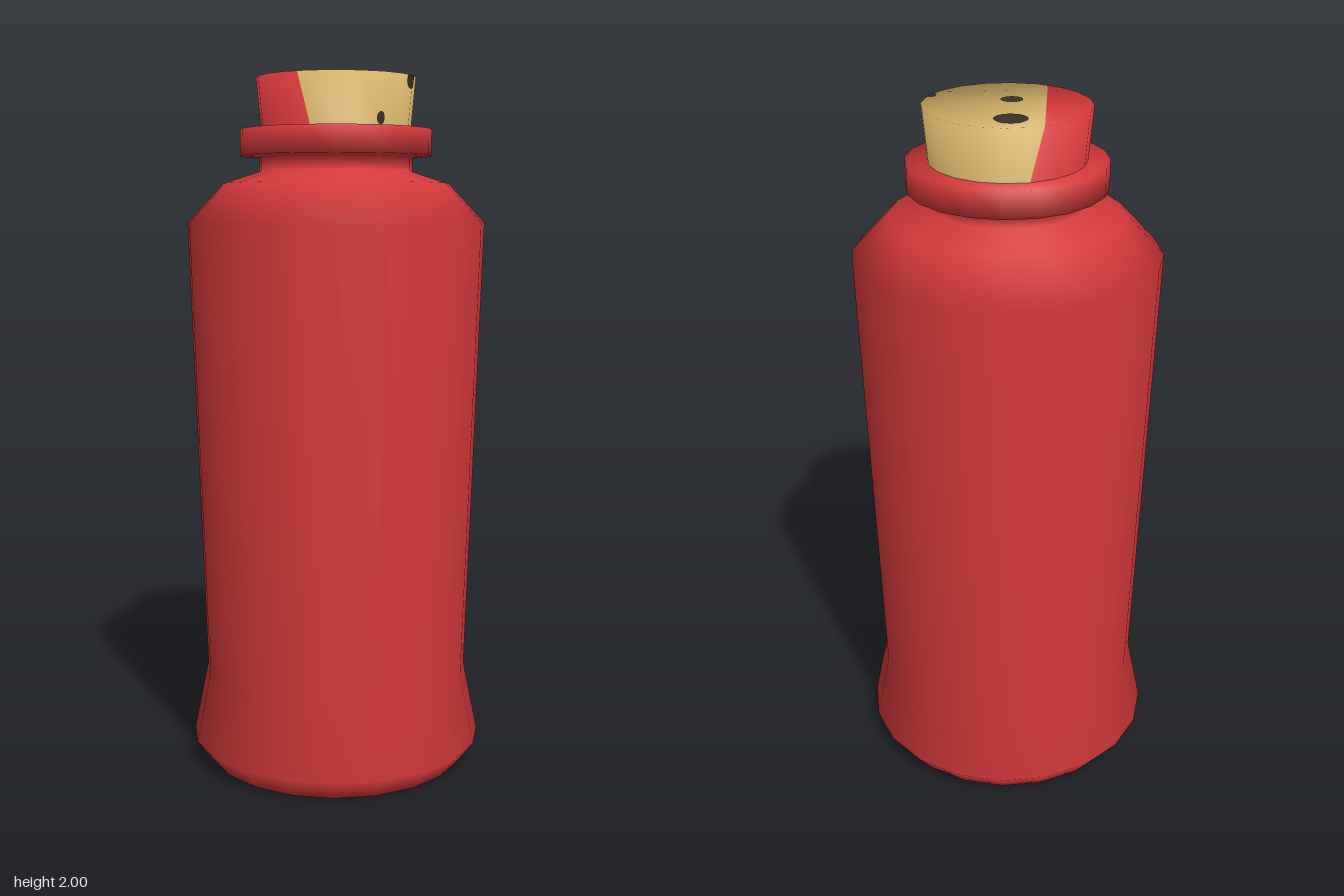
import * as THREE from 'three';

const SIDES = 20, STEP = 360 / SIDES;
const TOP = 2, BASE = 1.855, R_TOP = 0.228, R_BASE = 0.215;
const rad = THREE.MathUtils.degToRad;

// Point on the twenty-sided cork outline at an angle (degrees, +x towards +z)
function outline(deg, radius, y) {
  const off = ((deg % STEP) + STEP) % STEP - STEP / 2;
  const r = radius * Math.cos(rad(STEP / 2)) / Math.cos(rad(off));
  return new THREE.Vector3(r * Math.cos(rad(deg)), y, r * Math.sin(rad(deg)));
}

// One portion of the cork: side wall plus its share of the top
function corkPart(topAngles, baseAngles) {
  const pos = [], nor = [], idx = [];
  const add = (p, n) => { pos.push(...p); nor.push(...n.normalize()); };
  const n = topAngles.length;
  topAngles.forEach((a, i) => {
    const t = outline(a, R_TOP, TOP), b = outline(baseAngles[i], R_BASE, BASE);
    add(t, new THREE.Vector3(t.x / R_TOP, 1, t.z / R_TOP));
    add(b, new THREE.Vector3(b.x, 0.07, b.z));
  });
  const end = outline(topAngles[0], R_TOP, TOP);
  add(new THREE.Vector3(end.x, TOP, 0), new THREE.Vector3(0, 1, 0));
  for (let i = 0; i < n - 1; i++) {
    const t0 = 2 * i, b0 = t0 + 1, t1 = t0 + 2, b1 = t0 + 3;
    idx.push(b0, t0, t1, b0, t1, b1, 2 * n, t1, t0);
  }
  const g = new THREE.BufferGeometry();
  g.setAttribute('position', new THREE.Float32BufferAttribute(pos, 3));
  g.setAttribute('normal', new THREE.Float32BufferAttribute(nor, 3));
  g.setIndex(idx);
  return g;
}

// Round fan patch whose points come from a rule
function patch(place, count = 24) {
  const pos = [...place(0, 0)], idx = [];
  for (let i = 0; i < count; i++) {
    const a = i / count * Math.PI * 2;
    pos.push(...place(Math.cos(a), Math.sin(a)));
    idx.push(0, i + 1, (i + 1) % count + 1);
  }
  const g = new THREE.BufferGeometry();
  g.setAttribute('position', new THREE.Float32BufferAttribute(pos, 3));
  g.setIndex(idx);
  g.computeVertexNormals();
  return g;
}

// Spot on the flat top, trimmed at the rim
const topSpot = (x, z, r) => patch((u, v) => {
  const px = x + u * r, pz = z - v * r;
  const rim = outline(THREE.MathUtils.radToDeg(Math.atan2(pz, px)), R_TOP, TOP);
  const k = Math.min(1, Math.hypot(rim.x, rim.z) / Math.hypot(px, pz));
  return [px * k, TOP + 0.001, pz * k];
});

// Spot wrapped on the side wall, trimmed at top and base
const sideSpot = (deg, y, w, h) => patch((u, v) => {
  const py = THREE.MathUtils.clamp(y + v * h, BASE, TOP);
  const r = THREE.MathUtils.mapLinear(py, BASE, TOP, R_BASE, R_TOP) + 0.0015;
  return outline(deg - THREE.MathUtils.radToDeg(u * w / r), r, py);
});

export function createModel() {
  const red = new THREE.MeshStandardMaterial({ color: 0xd2383a });
  red.name = 'red';
  const tan = new THREE.MeshStandardMaterial({ color: 0xd0ae66 });
  tan.name = 'cork tan';
  const dark = new THREE.MeshStandardMaterial({ color: 0x3b3126 });
  dark.name = 'dark brown';

  const model = new THREE.Group();
  model.name = 'bottle';
  const add = (name, geometry, material, parent = model) => {
    const mesh = new THREE.Mesh(geometry, material);
    mesh.name = name;
    parent.add(mesh);
  };

  // Body, shoulder, neck and collar
  const profile = [
    [0, 0], [0.38, 0], [0.43, 0.065], [0.388, 0.27], [0.43, 1.592],
    [0.325, 1.703], [0.22, 1.737], [0.22, 1.778], [0.275, 1.78],
    [0.275, 1.855], [0.214, 1.855], [0.212, 1.9],
  ].map(([r, y]) => new THREE.Vector2(r, y));
  add('bottleBody', new THREE.LatheGeometry(profile, SIDES), red);

  // Cork, split into a tan part and a red part
  const cork = new THREE.Group();
  cork.name = 'cork';
  model.add(cork);
  const tanRing = [], redRing = [];
  for (let a = -108; a <= 108; a += STEP) tanRing.push(a);
  for (let a = 126; a <= 234; a += STEP) redRing.push(a);
  add('corkTan', corkPart([-117, ...tanRing, 117], [-108, ...tanRing, 108]), tan, cork);
  add('corkRed', corkPart([117, ...redRing, 243], [108, ...redRing, 252]), red, cork);

  // Dark cork pits
  add('largeTopSpot', topSpot(-0.015, -0.141, 0.045), dark, cork);
  add('smallTopSpot', topSpot(-0.01, 0.047, 0.03), dark, cork);
  add('rimSpotTop', topSpot(0.212, 0.08, 0.018), dark, cork);
  add('rimSpotSide', sideSpot(20.5, 1.987, 0.026, 0.024), dark, cork);
  add('lowSideSpot', sideSpot(54.5, 1.877, 0.013, 0.018), dark, cork);
  return model;
}
